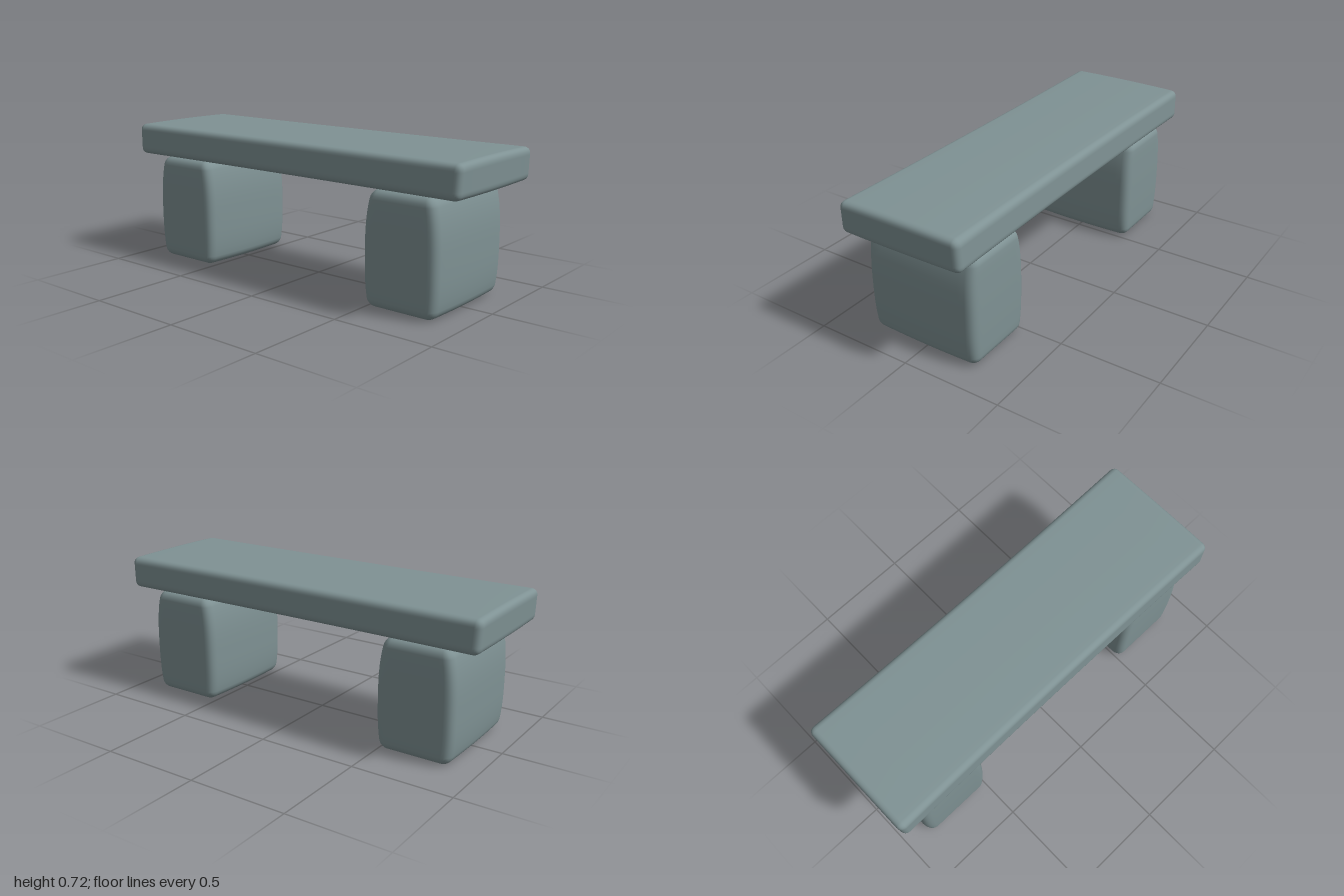
import * as THREE from 'three';
import { mergeVertices } from 'three/addons/utils/BufferGeometryUtils.js';

// Box with rounded edges, fine enough to be bent afterwards by a vertex rule
function softBox(half, radius, bend) {
  const n = 20;
  const geo = new THREE.BoxGeometry(2, 2, 2, n, n, n);
  geo.deleteAttribute('uv');
  geo.deleteAttribute('normal');
  const pos = geo.attributes.position;
  const p = new THREE.Vector3(), inner = new THREE.Vector3(), d = new THREE.Vector3();
  // the outer 30% of each span falls on the rounded edge
  const spread = (t, h) => {
    const a = Math.abs(t), k = 0.7;
    const v = a < k ? (a / k) * (h - radius) : h - radius + ((a - k) / (1 - k)) * radius;
    return Math.sign(t) * v;
  };
  for (let i = 0; i < pos.count; i++) {
    p.set(spread(pos.getX(i), half.x), spread(pos.getY(i), half.y), spread(pos.getZ(i), half.z));
    inner.set(half.x - radius, half.y - radius, half.z - radius);
    d.copy(p).clamp(inner.clone().negate(), inner);
    p.sub(d).normalize().multiplyScalar(radius).add(d);
    bend(p, p.x / half.x, p.y / half.y, p.z / half.z);
    pos.setXYZ(i, p.x, p.y, p.z);
  }
  const smooth = mergeVertices(geo, 1e-5);
  smooth.computeVertexNormals();
  return smooth;
}

export function createModel() {
  const model = new THREE.Group();
  model.name = 'stoneBench';
  const stone = new THREE.MeshStandardMaterial({ color: 0x7f9294 });
  stone.name = 'grey stone';

  // Seat slab: slightly waisted, with gently domed top and underside
  const slab = new THREE.Mesh(softBox(new THREE.Vector3(0.32, 0.083, 1), 0.032, (p, u, v, w) => {
    p.x *= (0.968 + 0.032 * w * w) * (1 - 0.008 * v);
    p.y *= 1 - 0.05 * u * u;
    p.z *= 0.996 + 0.004 * v;
  }), stone);
  slab.name = 'seatSlab';
  slab.position.y = 0.637;
  model.add(slab);

  // Two block legs whose broad faces bulge at mid height
  const legGeometry = softBox(new THREE.Vector3(0.296, 0.278, 0.2), 0.045, (p, u, v, w) => {
    const lift = v + 0.1;
    p.z *= 1 - 0.13 * Math.pow(Math.abs(lift), 3) - 0.02 * u * u;
    p.x *= 1 - 0.018 * v * v;
    p.y *= 1 - 0.015 * u * u;
  });
  for (const side of [1, -1]) {
    const leg = new THREE.Mesh(legGeometry, stone);
    leg.name = side > 0 ? 'frontLeg' : 'backLeg';
    leg.position.set(0, 0.278, side * 0.685);
    model.add(leg);
  }
  return model;
}
